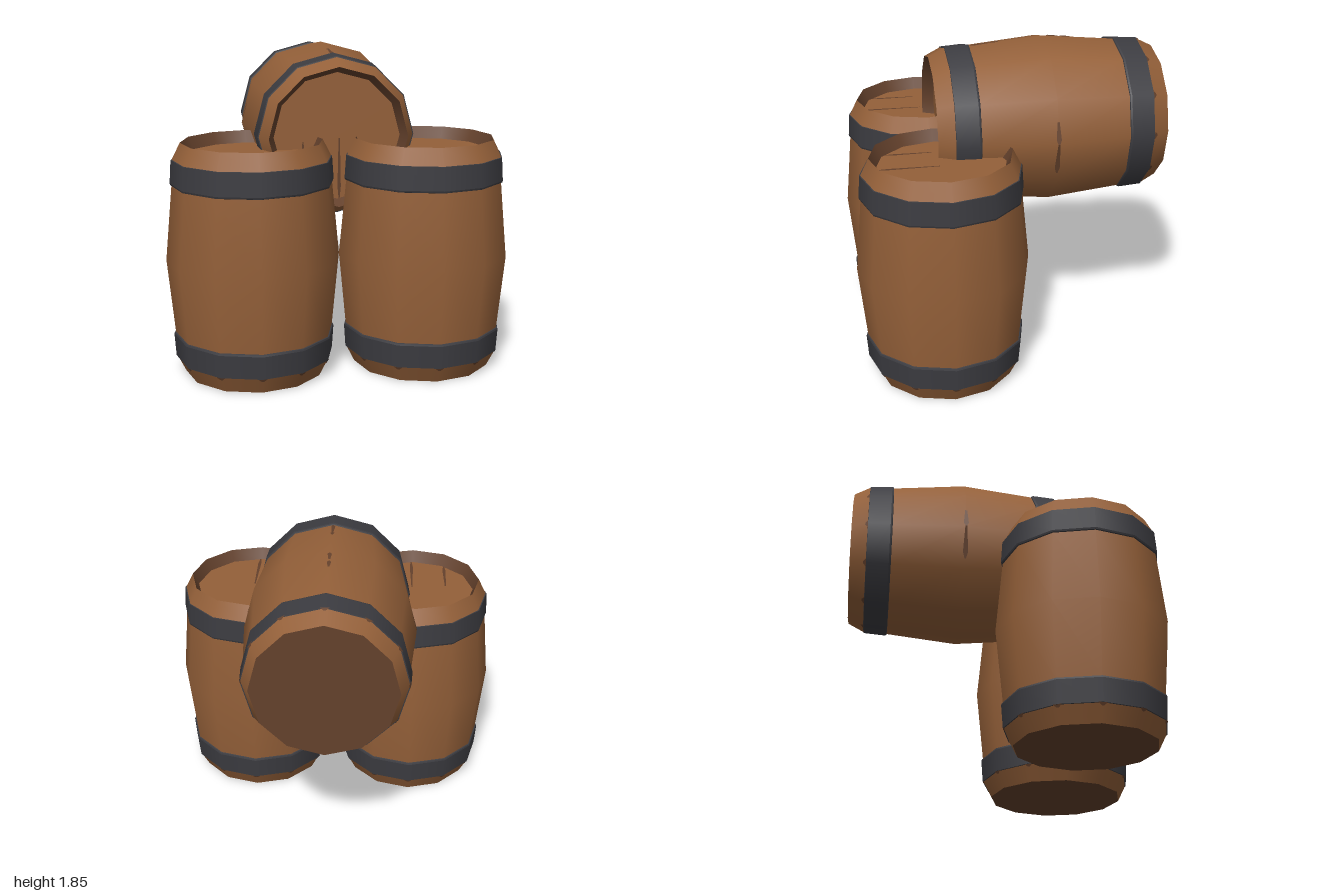
import * as THREE from 'three';

const SIDES = 12;
const HEIGHT = 1.35;
const MID = HEIGHT / 2;

export function createModel() {
  const wood = new THREE.MeshStandardMaterial({ color: 0x946039 });
  const iron = new THREE.MeshStandardMaterial({ color: 0x3c3c41 });
  const darkWood = new THREE.MeshStandardMaterial({ color: 0x64412c });
  wood.name = 'wood';
  iron.name = 'iron';
  darkWood.name = 'darkWood';

  // Twelve-sided turned part; profile is [radius, height] pairs
  function turned(name, profile, material) {
    const points = profile.map(([r, y]) => new THREE.Vector2(r, y));
    const mesh = new THREE.Mesh(new THREE.LatheGeometry(points, SIDES), material);
    mesh.name = name;
    return mesh;
  }

  // Flat dark sliver in the xy plane, facing +z
  function sliver(name, corners) {
    const shape = new THREE.Shape(corners.map(([x, y]) => new THREE.Vector2(x, y)));
    const mesh = new THREE.Mesh(new THREE.ShapeGeometry(shape), darkWood);
    mesh.name = name;
    return mesh;
  }

  // Long crack along y, tapered at both ends
  function crack(name, width, length) {
    const w = width / 2, l = length / 2;
    return sliver(name, [
      [-w * 0.3, -l], [w * 0.3, -l], [w, -l * 0.6], [w * 0.7, l * 0.2],
      [w * 0.4, l], [-w * 0.4, l], [-w * 0.7, l * 0.2], [-w, -l * 0.6],
    ]);
  }

  function barrel(name) {
    const g = new THREE.Group();
    g.name = name;
    // Staves and ends, split where the edges are sharp
    g.add(turned('base', [[0, 0], [0.405, 0]], darkWood));
    g.add(turned('lowerChamfer', [[0.405, 0], [0.455, 0.1]], wood));
    g.add(turned('staves', [[0.452, 0.1], [0.458, 0.24], [0.5, MID],
      [0.458, HEIGHT - 0.24], [0.452, HEIGHT - 0.1]], wood));
    g.add(turned('upperChamfer', [[0.455, HEIGHT - 0.1], [0.405, HEIGHT]], wood));
    g.add(turned('innerRim', [[0.405, HEIGHT], [0.37, HEIGHT - 0.07]], darkWood));
    g.add(turned('lid', [[0.37, HEIGHT - 0.07], [0, HEIGHT - 0.07]], wood));

    // Iron hoops with a bevelled inner edge, mirrored about the middle
    const hoop = [[0.45, 0.095], [0.459, 0.097], [0.468, 0.23], [0.465, 0.24], [0.456, 0.243]];
    const flipped = hoop.map(([r, y]) => [r, HEIGHT - y]).reverse();
    for (const [label, p] of [['lowerHoop', hoop], ['upperHoop', flipped]]) {
      for (let i = 0; i < p.length - 1; i++) {
        g.add(turned(label, [p[i], p[i + 1]], iron));
      }
    }

    // Small chips below the lower hoop, one at each stave edge
    for (let i = 0; i < SIDES; i++) {
      const pivot = new THREE.Group();
      pivot.name = 'hoopChip';
      pivot.rotation.y = (i / SIDES) * Math.PI * 2;
      const chip = sliver('chipSliver', [[-0.025, 0.009], [-0.006, -0.009], [0.006, -0.009], [0.025, 0.009]]);
      chip.position.set(0, 0.089, 0.452);
      chip.rotation.x = 0.46;
      pivot.add(chip);
      g.add(pivot);
    }

    // Cracks in the lid
    for (const [x, z, length] of [[-0.2, 0.17, 0.28], [0.012, 0.19, 0.36]]) {
      const c = crack('lidCrack', 0.02, length);
      c.rotation.x = -Math.PI / 2;
      c.position.set(x, HEIGHT - 0.068, z);
      g.add(c);
    }
    return g;
  }

  const model = new THREE.Group();
  model.name = 'barrelStack';

  // Two standing barrels
  for (const side of [-1, 1]) {
    const b = barrel(side < 0 ? 'rightBarrel' : 'leftBarrel');
    b.position.set(side * 0.5, 0, 0.423);
    model.add(b);
  }

  // Barrel lying across them, lid to the front
  const lying = barrel('lyingBarrel');
  lying.rotation.x = Math.PI / 2;
  lying.position.set(0, 1.353, -0.925);
  model.add(lying);

  // Cracks around both flanks of the lying barrel, folded at the widest edge
  for (const side of [-1, 1]) {
    for (const [dir, length] of [[-1, 0.2], [1, 0.13]]) {
      const pivot = new THREE.Group();
      pivot.name = 'flankCrack';
      pivot.position.set(side * 0.502, 1.353, -0.25);
      pivot.rotation.z = side * dir * Math.PI / 12;
      const c = crack('flankSliver', 0.03, length);
      c.rotation.y = side * Math.PI / 2;
      c.position.y = dir * length / 2;
      pivot.add(c);
      model.add(pivot);
    }
  }

  // Short nicks along the top ridge of the lying barrel
  for (const [z, length] of [[-0.39, 0.06], [-0.31, 0.07], [0.03, 0.04], [0.11, 0.13]]) {
    const slope = Math.sign(z + 0.25) * 0.096;
    const nick = crack('ridgeNick', 0.024, length);
    nick.position.set(0, 1.353 + 0.502 - Math.abs(z + 0.25) * 0.096, z);
    nick.rotation.x = -Math.PI / 2 + slope;
    model.add(nick);
  }
  return model;
}
